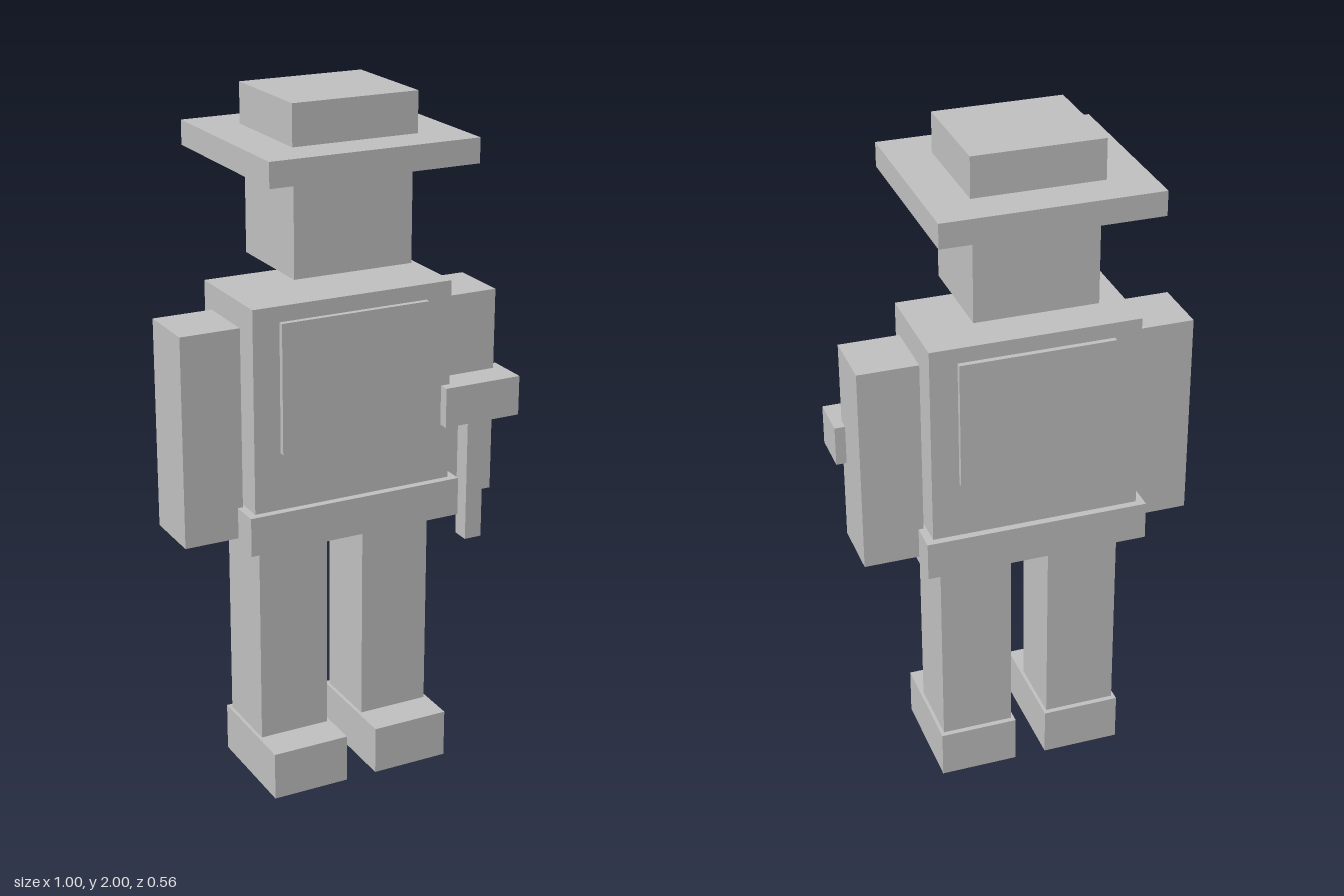
import * as THREE from 'three';

export function createModel() {
  const model = new THREE.Group();
  model.name = 'blockFigure';
  const grey = new THREE.MeshStandardMaterial({ color: 0xbfbfbf });
  grey.name = 'plain grey';

  // Body axis sits slightly to the side, since the held tool widens one side
  const axis = -0.017;

  // Box given by its lower and upper limits on each axis
  function block(name, [x0, x1], [y0, y1], [z0, z1], parent = model) {
    const mesh = new THREE.Mesh(new THREE.BoxGeometry(x1 - x0, y1 - y0, z1 - z0), grey);
    mesh.name = name;
    mesh.position.set((x0 + x1) / 2, (y0 + y1) / 2, (z0 + z1) / 2);
    parent.add(mesh);
    return mesh;
  }
  const centred = (half) => [axis - half, axis + half];

  // Hat and head
  const hat = new THREE.Group();
  hat.name = 'hat';
  model.add(hat);
  block('hatCrown', centred(0.186), [1.885, 2], [-0.163, 0.163], hat);
  block('hatBrim', centred(0.309), [1.815, 1.885], [-0.282, 0.282], hat);
  block('head', centred(0.178), [1.525, 1.815], [-0.152, 0.152]);

  // Torso with a raised panel on chest and back, and a belt
  block('torso', centred(0.304), [0.8, 1.46], [-0.157, 0.157]);
  block('chestPanel', centred(0.225), [1.04, 1.415], [0.157, 0.173]);
  block('backPanel', centred(0.225), [1.04, 1.415], [-0.173, -0.157]);
  block('belt', centred(0.327), [0.76, 0.873], [-0.179, 0.179]);

  // Limbs
  for (const [side, s] of [['left', 1], ['right', -1]]) {
    const span = (a, b) => (s > 0 ? [axis + a, axis + b] : [axis - b, axis - a]);
    block(side + 'Arm', span(0.312, 0.487), [0.782, 1.393], [-0.093, 0.093]);
    block(side + 'Leg', span(0.057, 0.269), [0.143, 0.76], [-0.104, 0.104]);
    block(side + 'Foot', span(0.047, 0.279), [0, 0.143], [-0.12, 0.212]);
  }

  // Hammer held in front of the left arm
  const hammer = new THREE.Group();
  hammer.name = 'hammer';
  model.add(hammer);
  block('hammerHead', [0.26, 0.5], [1.038, 1.155], [0.056, 0.188], hammer);
  block('hammerHandle', [0.354, 0.407], [0.662, 1.038], [0.097, 0.152], hammer);

  return model;
}
